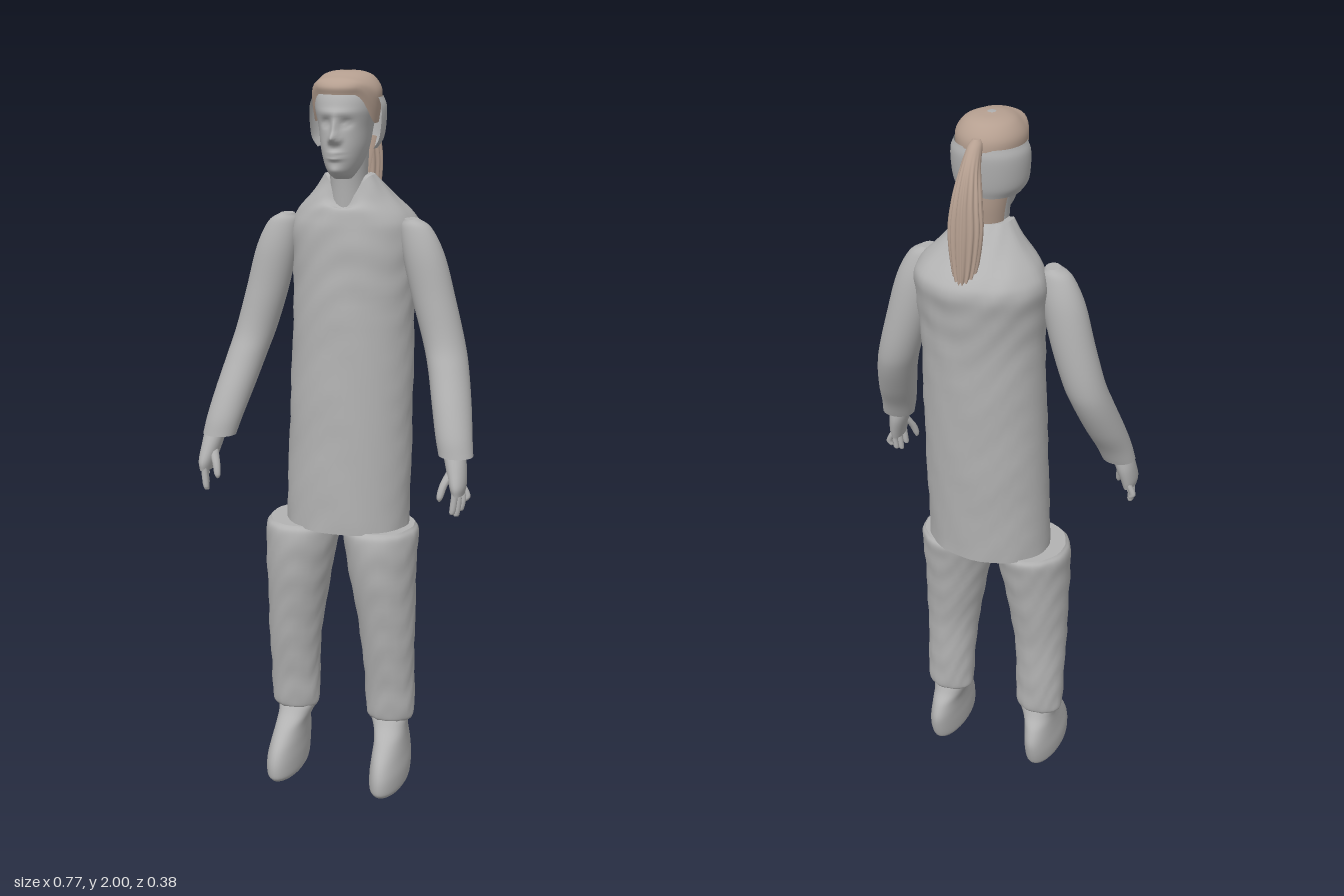
import * as THREE from 'three';

const mat = (name, color) => {
  const m = new THREE.MeshStandardMaterial({ color, side: THREE.DoubleSide });
  m.name = name;
  return m;
};

// Smooth loft through horizontal oval sections, listed bottom to top:
// [y, centreX, zFront, zBack, halfWidth]. warp(p, angle) may move each vertex.
function loft(rows, { seg = 32, sub = 6, warp, arc = null, cap = true } = {}) {
  const n = rows.length;
  const curve = new THREE.CubicInterpolant(rows.map((_, i) => i), rows.flat(), 5);
  const pos = [], idx = [], cols = arc ? seg + 1 : seg;
  const ring = (t, k = 1) => {
    const [y, cx, zf, zb, rx] = curve.evaluate(t);
    for (let j = 0; j < cols; j++) {
      const a = arc ? arc[0] + (arc[1] - arc[0]) * j / seg : j / seg * Math.PI * 2;
      const p = new THREE.Vector3(cx + k * rx * Math.cos(a), y, (zf + zb) / 2 + k * (zf - zb) / 2 * Math.sin(a));
      if (warp) warp(p, a);
      pos.push(p.x, p.y, p.z);
    }
  };
  const closed = cap && !arc, steps = (n - 1) * sub;
  if (closed) { ring(0, 0.001); ring(0); }
  for (let i = 0; i <= steps; i++) ring(i / sub);
  if (closed) { ring(n - 1); ring(n - 1, 0.001); }
  const count = pos.length / 3 / cols;
  for (let i = 0; i < count - 1; i++) {
    if (closed && (i === 1 || i === count - 3)) continue;
    for (let j = 0; j < seg; j++) {
      const a = i * cols + j, b = i * cols + (j + 1) % cols, c = a + cols, d = b + cols;
      idx.push(a, c, b, b, c, d);
    }
  }
  const g = new THREE.BufferGeometry();
  g.setAttribute('position', new THREE.Float32BufferAttribute(pos, 3));
  g.setIndex(idx);
  g.computeVertexNormals();
  return g;
}

const bump = (p, x, y, sx, sy, h) => h * Math.exp(-(((p.x - x) / sx) ** 2) - ((p.y - y) / sy) ** 2);
const step = THREE.MathUtils.smoothstep;

// Faint creasing of the cloth
const cloth = (p, a) => {
  const w = 0.0022 * Math.sin(p.y * 47 + 3 * Math.sin(a * 3)) * Math.sin(a * 5 + p.y * 21);
  p.x += w * Math.cos(a);
  p.z += w * Math.sin(a);
};

export function createModel() {
  const model = new THREE.Group();
  const grey = mat('grey', 0xb2b2b2), hair = mat('hairBrown', 0xb59f90);
  const add = (name, geo, m = grey, parent = model) => {
    const mesh = new THREE.Mesh(geo, m);
    mesh.name = name;
    parent.add(mesh);
  };
  const X = 0.014;

  // Long tunic with a collar that dips at the front
  add('tunic', loft([
    [0.77, 0.004, 0.125, -0.14, 0.175], [1.1, 0.01, 0.116, -0.158, 0.171], [1.4, 0.014, 0.105, -0.17, 0.166],
    [1.52, 0.015, 0.1, -0.18, 0.171], [1.59, 0.015, 0.095, -0.19, 0.175], [1.63, 0.015, 0.088, -0.172, 0.158],
    [1.68, 0.015, 0.078, -0.115, 0.11], [1.735, 0.015, 0.06, -0.05, 0.066],
  ], {
    seg: 48, sub: 8, warp: (p, a) => {
      cloth(p, a);
      p.y -= 0.07 * step(p.y, 1.64, 1.735) * Math.max(0, Math.sin(a)) ** 4;
    },
  }));

  // Neck
  add('neck', loft([[1.64, X, 0.065, -0.04, 0.05], [1.72, X, 0.07, -0.045, 0.048], [1.8, X, 0.08, -0.05, 0.052]]));

  // Head with nose, brow, eye sockets, lips and chin
  const skull = [
    [1.73, X, 0.09, 0.03, 0.024], [1.745, X, 0.118, 0, 0.035], [1.77, X, 0.13, -0.03, 0.048],
    [1.81, X, 0.132, -0.05, 0.06], [1.86, X, 0.128, -0.06, 0.068], [1.91, X, 0.128, -0.068, 0.08],
    [1.95, X, 0.114, -0.066, 0.081], [1.98, X, 0.085, -0.045, 0.062], [1.993, X, 0.06, -0.018, 0.036],
    [1.997, X, 0.03, 0.02, 0.004],
  ];
  add('head', loft(skull, {
    seg: 80, sub: 8, warp: (p, a) => {
      if (Math.sin(a) < 0.2) return;
      let d = bump(p, X, 1.838, 0.012, 0.013, 0.028) + bump(p, X, 1.862, 0.009, 0.025, 0.016)
        + bump(p, X, 1.787, 0.02, 0.005, 0.011) + bump(p, X, 1.8, 0.018, 0.005, 0.011)
        + bump(p, X, 1.755, 0.018, 0.012, 0.007) + bump(p, X, 1.9, 0.045, 0.009, 0.006);
      for (const s of [-1, 1]) {
        d += bump(p, X + s * 0.027, 1.874, 0.014, 0.01, -0.011) + bump(p, X + s * 0.027, 1.873, 0.008, 0.004, 0.006)
          + bump(p, X + s * 0.013, 1.831, 0.006, 0.007, 0.008);
      }
      p.z += d;
    },
  }));

  // Hair cap, with the hairline raised over the forehead
  const capRows = skull.slice(5).map(([y, x, f, b, r]) => [y + 0.003, x, f + 0.006, b - 0.006, r + 0.007]);
  capRows.unshift([1.87, X, 0.13, -0.067, 0.081]);
  add('hairCap', loft(capRows, {
    seg: 48, cap: false, warp: (p) => {
      p.y += 0.075 * Math.max(0, (2 - p.y) / 0.13) * step(p.z, 0.045, 0.115);
    },
  }), hair);

  // Grey panel wrapping the sides and back of the head
  add('sideHairPanel', loft([
    [1.805, X, 0.105, -0.06, 0.078], [1.83, X, 0.113, -0.068, 0.094], [1.87, X, 0.115, -0.074, 0.1],
    [1.91, X, 0.115, -0.077, 0.1], [1.935, X, 0.11, -0.073, 0.091],
  ], { arc: [Math.PI * 0.92, Math.PI * 2.08] }));

  // Hair over the nape
  add('napeHair', loft([[1.735, X, 0.06, -0.05, 0.05], [1.78, X, 0.06, -0.058, 0.058], [1.83, X, 0.07, -0.063, 0.07]],
    { arc: [Math.PI * 1.1, Math.PI * 1.9] }), hair);

  // Ponytail with strand ridges
  add('ponytail', loft([
    [1.6, X, -0.15, -0.175, 0.008], [1.65, X, -0.12, -0.176, 0.03], [1.75, X, -0.11, -0.173, 0.043],
    [1.83, X, -0.1, -0.162, 0.036], [1.9, X, -0.084, -0.136, 0.025], [1.945, X, -0.058, -0.105, 0.018],
    [1.962, X, -0.045, -0.08, 0.01],
  ], {
    seg: 72, warp: (p, a) => {
      const w = 0.003 * Math.cos(a * 14) * step(1.95 - p.y, 0, 0.12);
      p.x += w * Math.cos(a);
      p.z += w * Math.sin(a);
    },
  }), hair);

  for (const s of [-1, 1]) {
    const side = s > 0 ? 'left' : 'right';
    // Rows are given for the left; the offset is the middle of the pair
    const pair = (off, rows, o) => loft(rows.map(([y, x, ...r]) => [y, off + s * x, ...r]), o);

    // Sleeve, bent forward below the elbow
    add(side + 'Sleeve', pair(0.012, [
      [1.625, 0.172, 0.03, -0.015, 0.018], [1.6, 0.184, 0.042, -0.03, 0.042], [1.53, 0.205, 0.053, -0.046, 0.056],
      [1.42, 0.233, 0.057, -0.052, 0.058], [1.31, 0.264, 0.067, -0.048, 0.056], [1.24, 0.284, 0.092, -0.03, 0.054],
      [1.15, 0.306, 0.132, 0.015, 0.052], [1.08, 0.322, 0.158, 0.06, 0.049], [1.03, 0.333, 0.168, 0.085, 0.046],
    ].reverse()));

    // Hand with four fingers and a thumb
    const hand = new THREE.Group();
    hand.name = side + 'Hand';
    model.add(hand);
    add('palm', pair(0.005, [
      [0.935, 0.355, 0.188, 0.115, 0.016], [0.96, 0.353, 0.19, 0.108, 0.022],
      [1.0, 0.345, 0.175, 0.1, 0.027], [1.04, 0.336, 0.158, 0.1, 0.03],
    ], { seg: 20 }), grey, hand);
    for (let i = 0; i < 4; i++) {
      const z = 0.122 + i * 0.019, tip = [0.905, 0.885, 0.875, 0.885][i], x = 0.372 - i * 0.007;
      add('finger', pair(0.005, [
        [tip, x - 0.006, z + 0.004, z, 0.002], [tip + 0.006, x - 0.004, z + 0.01, z - 0.006, 0.008],
        [0.925, x, z + 0.009, z - 0.008, 0.009], [0.96, 0.354, z + 0.008, z - 0.009, 0.009],
      ], { seg: 10, sub: 3 }), grey, hand);
    }
    add('thumb', pair(0.005, [
      [0.918, 0.312, 0.184, 0.178, 0.003], [0.93, 0.313, 0.189, 0.172, 0.009],
      [0.96, 0.32, 0.182, 0.16, 0.011], [0.995, 0.337, 0.165, 0.135, 0.014],
    ], { seg: 10, sub: 3 }), grey, hand);

    // Trouser leg
    add(side + 'TrouserLeg', pair(-0.008, [
      [0.19, 0.142, 0.048, -0.045, 0.06], [0.21, 0.143, 0.056, -0.053, 0.069], [0.3, 0.142, 0.066, -0.056, 0.071],
      [0.45, 0.137, 0.09, -0.062, 0.077], [0.6, 0.125, 0.113, -0.083, 0.09], [0.7, 0.117, 0.122, -0.1, 0.099],
      [0.755, 0.113, 0.121, -0.108, 0.103], [0.775, 0.111, 0.108, -0.1, 0.094],
    ], { warp: cloth }));

    // Shoe
    add(side + 'Shoe', pair(-0.006, [
      [0.004, 0.155, 0.155, -0.06, 0.042], [0.02, 0.155, 0.167, -0.074, 0.049], [0.06, 0.155, 0.166, -0.087, 0.05],
      [0.1, 0.153, 0.148, -0.091, 0.046], [0.14, 0.15, 0.108, -0.077, 0.044], [0.17, 0.144, 0.068, -0.055, 0.049],
      [0.2, 0.139, 0.045, -0.042, 0.06],
    ]));
  }
  return model;
}
